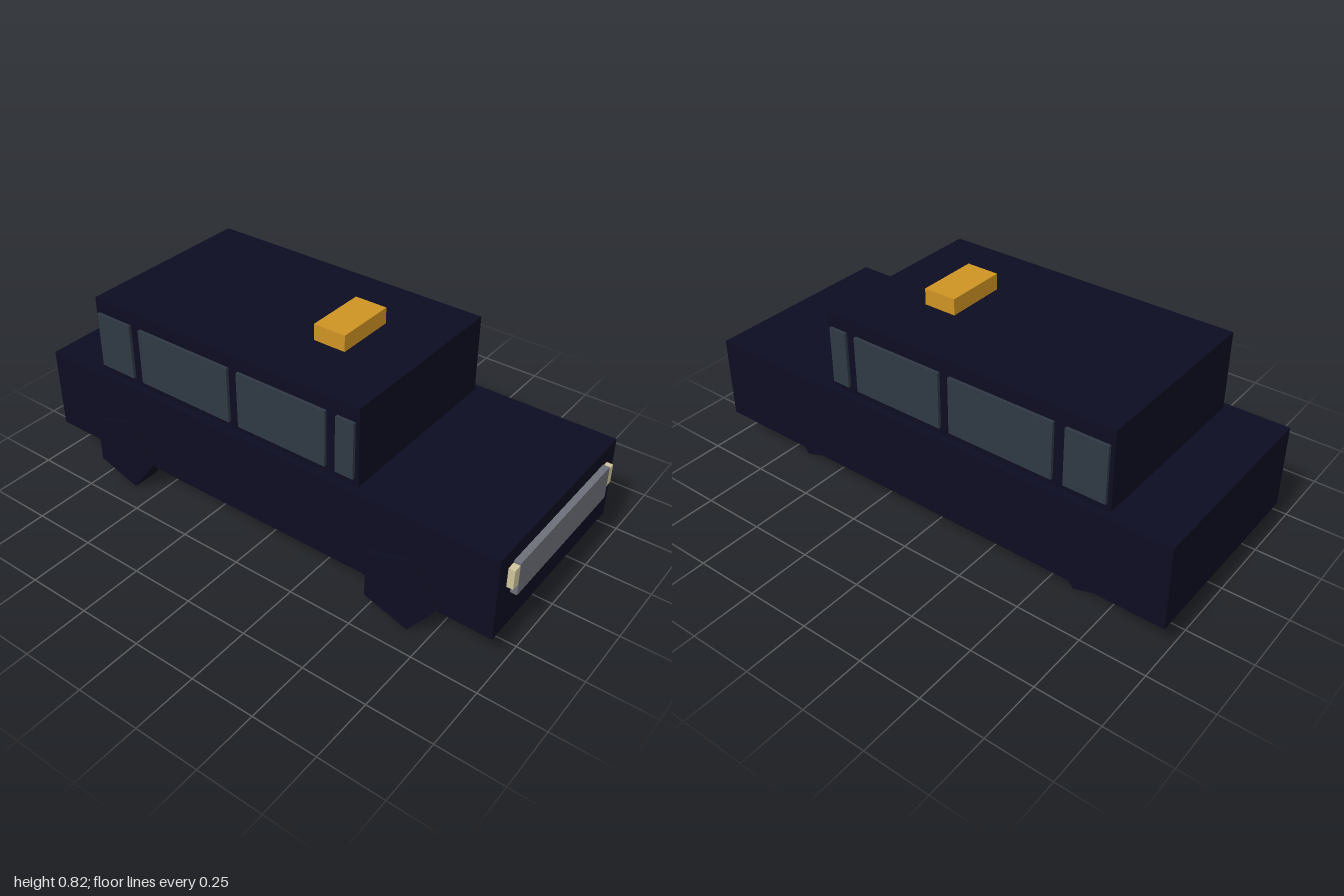
import * as THREE from 'three';

const material = (name, color) => {
  const m = new THREE.MeshStandardMaterial({ color });
  m.name = name;
  return m;
};

export function createModel() {
  const car = new THREE.Group();
  car.name = 'car';
  const paint = material('midnight paint', 0x0d0d22);
  const glass = material('dark glass', 0x2f3843);
  const metal = material('grey metal', 0x6d7078);
  const lamp = material('cream lamp', 0xcfc69c);
  const amber = material('amber sign', 0xcf9424);

  // Box given by its limits on each axis
  const box = (name, mat, [x0, x1], [y0, y1], [z0, z1]) => {
    const mesh = new THREE.Mesh(new THREE.BoxGeometry(x1 - x0, y1 - y0, z1 - z0), mat);
    mesh.position.set((x0 + x1) / 2, (y0 + y1) / 2, (z0 + z1) / 2);
    mesh.name = name;
    car.add(mesh);
  };

  // Body, cabin and roof sign
  box('body', paint, [-1, 0.975], [0.126, 0.455], [-0.405, 0.385]);
  box('cabin', paint, [-0.76, 0.425], [0.455, 0.762], [-0.375, 0.355]);
  box('roofSign', amber, [0.055, 0.185], [0.762, 0.825], [-0.131, 0.111]);

  // Side windows on both flanks
  for (const x of [[-0.745, -0.585], [-0.54, -0.122], [-0.08, 0.295], [0.337, 0.41]]) {
    box('sideWindow', glass, x, [0.485, 0.705], [0.355, 0.367]);
    box('sideWindow', glass, x, [0.485, 0.705], [-0.387, -0.375]);
  }

  // Nose: grille over the inner ends of the headlights
  box('grille', metal, [0.975, 1], [0.265, 0.396], [-0.319, 0.297]);
  for (const z of [[0.21, 0.329], [-0.35, -0.231]]) {
    box('headlight', lamp, [0.975, 0.999], [0.311, 0.388], z);
  }

  // Five-sided wheels
  const wheelGeo = new THREE.CylinderGeometry(0.1575, 0.1575, 0.113, 5, 1, false, Math.PI / 2)
    .rotateX(Math.PI / 2).toNonIndexed();
  wheelGeo.computeVertexNormals();
  for (const x of [-0.6475, 0.6225]) {
    for (const z of [0.349, -0.257]) {
      const wheel = new THREE.Mesh(wheelGeo, paint);
      wheel.position.set(x, 0.15, z);
      wheel.name = 'wheel';
      car.add(wheel);
    }
  }
  return car;
}
